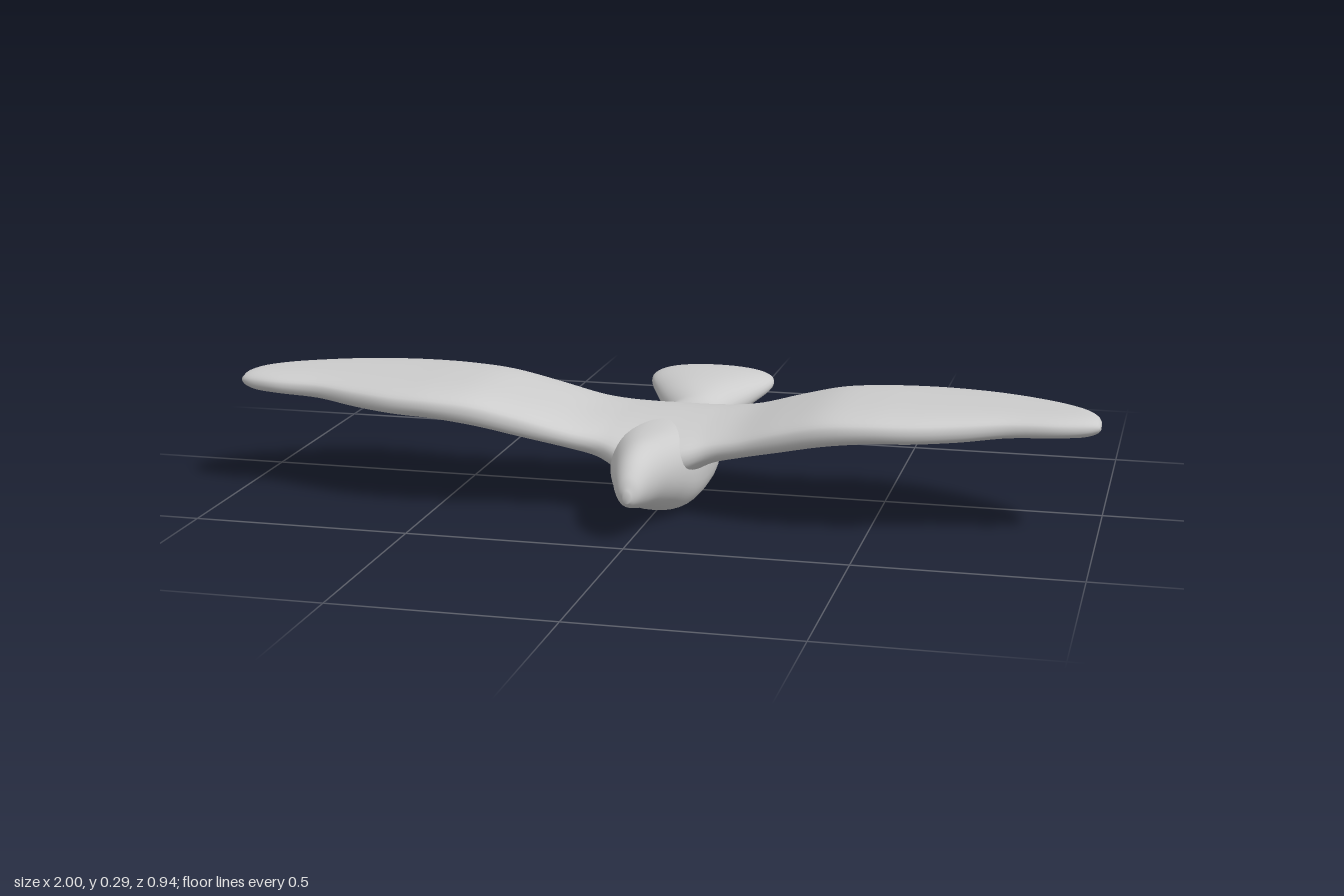
import * as THREE from 'three';

const material = new THREE.MeshStandardMaterial({ color: 0xcccccc });

// Smooth closed skin through stations [along z, min x, max x, min y, max y, roundness]
function loft(stations, steps, sides) {
  const plan = new THREE.CatmullRomCurve3(
    stations.map(s => new THREE.Vector3(s[0], s[1], s[2])), false, 'catmullrom', 0.5);
  const side = new THREE.CatmullRomCurve3(
    stations.map(s => new THREE.Vector3(s[3], s[4], s[5])), false, 'catmullrom', 0.5);
  const pos = [], idx = [];
  const bend = (v, n) => Math.sign(v) * Math.abs(v) ** (2 / n);
  const centres = [];
  for (let i = 0; i <= steps; i++) {
    const p = plan.getPoint(i / steps), q = side.getPoint(i / steps);
    const cx = (p.y + p.z) / 2, rx = (p.z - p.y) / 2;
    const cy = (q.x + q.y) / 2, ry = (q.y - q.x) / 2;
    if (i === 0 || i === steps) centres.push([cx, cy, p.x]);
    for (let j = 0; j < sides; j++) {
      const a = (j / sides) * Math.PI * 2;
      pos.push(cx + rx * bend(Math.cos(a), q.z), cy + ry * bend(Math.sin(a), q.z), p.x);
    }
  }
  for (let i = 0; i < steps; i++) {
    for (let j = 0; j < sides; j++) {
      const k = (j + 1) % sides;
      const a = i * sides + j, b = i * sides + k, c = a + sides, d = b + sides;
      idx.push(a, b, c, b, d, c);
    }
  }
  // close both ends
  const first = pos.length / 3, last = first + 1, end = steps * sides;
  pos.push(...centres[0], ...centres[1]);
  for (let j = 0; j < sides; j++) {
    const k = (j + 1) % sides;
    idx.push(first, k, j, last, end + j, end + k);
  }
  const geo = new THREE.BufferGeometry();
  geo.setAttribute('position', new THREE.Float32BufferAttribute(pos, 3));
  geo.setIndex(idx);
  geo.computeVertexNormals();
  return geo;
}

export function createModel() {
  const model = new THREE.Group();
  model.name = 'bird';

  // Body from tail tip to beak: z, half width, bottom, top, roundness
  const bodyStations = [
    [-0.472, 0.06, 0.168, 0.186, 2],
    [-0.46, 0.115, 0.158, 0.197, 2.1],
    [-0.43, 0.148, 0.146, 0.203, 2.2],
    [-0.38, 0.153, 0.13, 0.204, 2.2],
    [-0.3, 0.118, 0.106, 0.198, 2.2],
    [-0.22, 0.077, 0.085, 0.184, 2.1],
    [-0.16, 0.068, 0.067, 0.182, 2],
    [-0.09, 0.087, 0.046, 0.187, 2.1],
    [0, 0.108, 0.01, 0.2, 2.3],
    [0.1, 0.112, 0.001, 0.202, 2.4],
    [0.2, 0.106, 0.004, 0.202, 2.4],
    [0.28, 0.085, 0.03, 0.203, 2.2],
    [0.35, 0.064, 0.052, 0.2, 2],
    [0.41, 0.045, 0.067, 0.182, 2],
    [0.45, 0.027, 0.08, 0.15, 2],
    [0.468, 0.008, 0.093, 0.117, 2],
  ];
  const body = new THREE.Mesh(
    loft(bodyStations.map(([z, w, b, t, n]) => [z, -w, w, b, t, n]), 90, 40), material);
  body.name = 'bodyAndTail';
  model.add(body);

  // Half span from root to tip: x, leading z, trailing z, bottom, top, roundness
  const half = [
    [0, 0.3, -0.165, 0.06, 0.204, 2.2],
    [0.07, 0.285, -0.145, 0.082, 0.204, 2.3],
    [0.13, 0.262, -0.118, 0.115, 0.206, 2.5],
    [0.2, 0.272, -0.1, 0.137, 0.217, 2.6],
    [0.3, 0.303, -0.07, 0.165, 0.25, 2.8],
    [0.4, 0.328, -0.05, 0.19, 0.278, 2.8],
    [0.5, 0.334, -0.055, 0.204, 0.285, 2.8],
    [0.6, 0.322, -0.064, 0.207, 0.285, 2.8],
    [0.7, 0.292, -0.048, 0.212, 0.285, 2.8],
    [0.8, 0.262, -0.008, 0.223, 0.285, 2.8],
    [0.9, 0.256, 0.048, 0.229, 0.285, 2.6],
    [0.96, 0.242, 0.1, 0.233, 0.283, 2.4],
    [0.99, 0.228, 0.145, 0.242, 0.277, 2.2],
    [1, 0.218, 0.175, 0.252, 0.268, 2],
  ];
  // Mirrored into one continuous span, then turned so its length lies on x
  const span = [...half.slice(1).reverse().map(([x, ...r]) => [-x, ...r]), ...half];
  const wingGeo = loft(span.map(([x, f, k, b, t, n]) => [x, -f, -k, b, t, n]), 130, 40);
  wingGeo.rotateY(Math.PI / 2);
  const wings = new THREE.Mesh(wingGeo, material);
  wings.name = 'wings';
  model.add(wings);

  return model;
}
